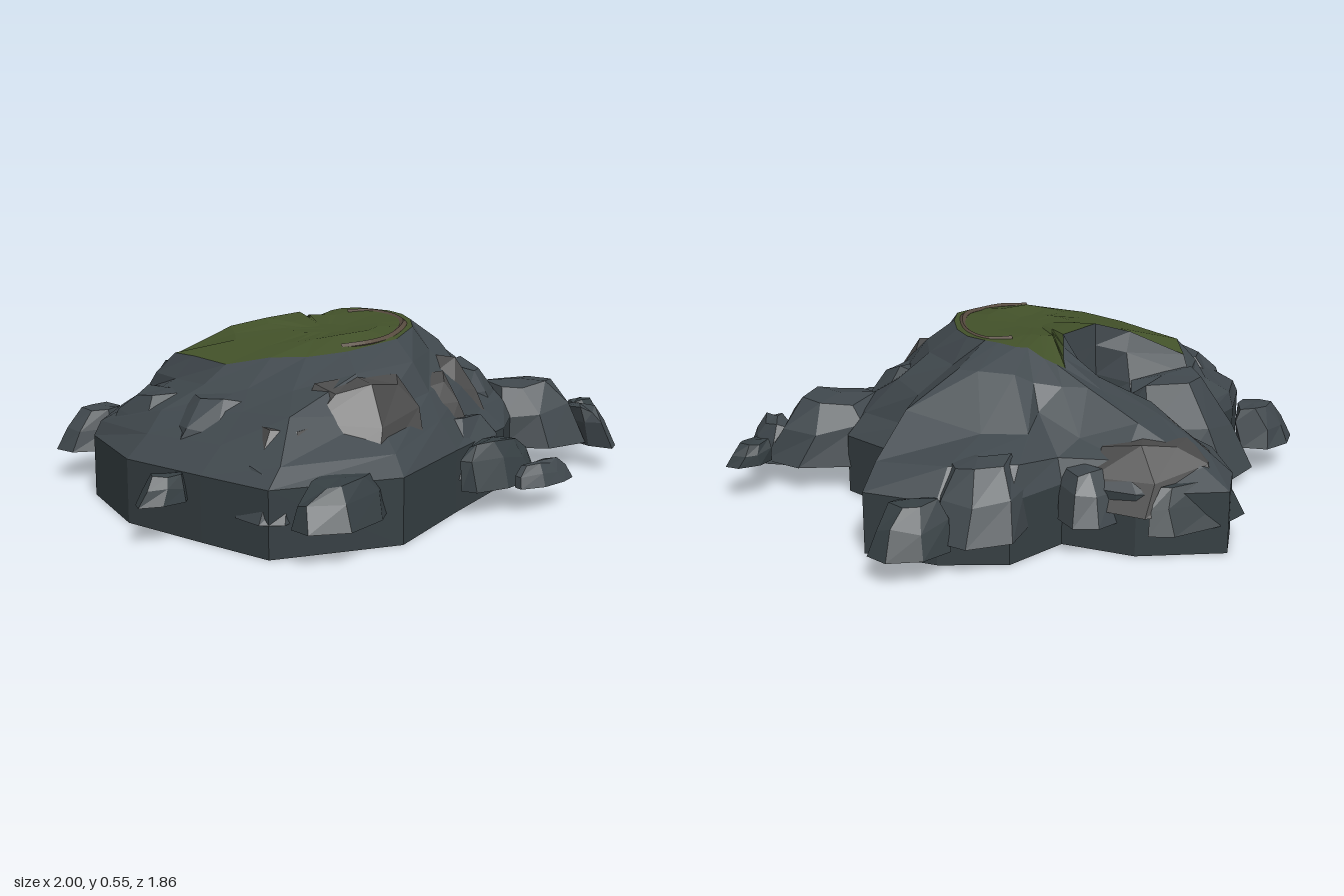
import * as THREE from 'three';

const mat = (color) => new THREE.MeshStandardMaterial({ color, flatShading: true, roughness: 1 });
const SLATE = mat(0x40484d), GREY = mat(0x4a4a4a), DARK = mat(0x363f43), GRASS = mat(0x43522a), TRAIL = mat(0x584c40);

// Small seeded noise in -1..1
let seed = 7;
const rnd = () => {
  seed = (seed * 16807) % 2147483647;
  return (seed / 2147483647) * 2 - 1;
};

// Each row: shoreline x, z, then the matching point x, z on the plateau rim
const COAST = [
  [0.82, -0.3, 0.24, -0.08], [0.57, -0.03, 0.26, 0], [0.62, 0.2, 0.24, 0.1],
  [0.52, 0.38, 0.18, 0.22], [0.32, 0.55, 0.1, 0.33], [-0.02, 0.7, -0.04, 0.42],
  [-0.36, 0.86, -0.25, 0.44], [-0.75, 0.75, -0.36, 0.37], [-0.82, 0.5, -0.43, 0.28],
  [-0.9, 0.2, -0.53, 0.17], [-0.84, -0.15, -0.53, -0.03], [-0.68, -0.3, -0.54, -0.14],
  [-0.42, -0.4, -0.48, -0.25], [-0.22, -0.28, -0.3, -0.17], [-0.2, -0.12, -0.2, -0.1],
  [-0.02, -0.18, -0.02, -0.16], [-0.15, -0.42, 0.02, -0.22], [-0.33, -0.58, 0.05, -0.26],
  [-0.22, -0.8, 0.07, -0.3], [-0.1, -0.92, 0.09, -0.28], [0.15, -0.78, 0.12, -0.25],
  [0.28, -0.58, 0.15, -0.2], [0.5, -0.62, 0.19, -0.19], [0.68, -0.5, 0.22, -0.13],
];

// Plateau height: falls away to the right, the back and the front
const plateauY = (x, z) =>
  0.54 - Math.max(0, -x - 0.2) * 0.28 - Math.max(0, -z - 0.18) * 0.6 - Math.max(0, z - 0.3) * 0.2;

// Skin closed rings of [x, y, z] points, listed from bottom to top
function loft(rings) {
  const pos = [];
  for (let r = 0; r < rings.length - 1; r++) {
    const a = rings[r], b = rings[r + 1];
    for (let i = 0; i < a.length; i++) {
      const j = (i + 1) % a.length;
      pos.push(...a[i], ...b[i], ...a[j], ...a[j], ...b[i], ...b[j]);
    }
  }
  const g = new THREE.BufferGeometry();
  g.setAttribute('position', new THREE.Float32BufferAttribute(pos, 3));
  g.computeVertexNormals();
  return g;
}

// Boulder: flat base, tapering side and a smaller top that leans towards the hill
function boulder(x, z, rx, rz, y0, y1, turn = 0) {
  const n = 7, h = y1 - y0, far = Math.hypot(x, z);
  const wobble = Array.from({ length: n }, () => 1 + rnd() * 0.1);
  const place = (u, v, y) => {
    const c = Math.cos(turn), s = Math.sin(turn), lean = ((y - y0) * 0.3) / far;
    return [x * (1 - lean) + u * c - v * s, y, z * (1 - lean) + u * s + v * c];
  };
  const ring = (scale, y, rough) => wobble.map((w, i) => {
    const a = ((i + 0.25 * rough * rnd()) / n) * Math.PI * 2;
    return place(Math.cos(a) * rx * w * scale, Math.sin(a) * rz * w * scale, y + rnd() * h * 0.1 * rough);
  });
  const dot = (y) => wobble.map(() => place(0, 0, y));
  return loft([dot(y0), ring(1, y0, 0), ring(0.87, y0 + h * 0.55, 1), ring(0.6, y1 - h * 0.06, 1), dot(y1)]);
}

// Stones along the shore: x, z, half width, half depth, bottom, top, turn
const SHORE = {
  backRightStone: [-0.73, -0.41, 0.12, 0.09, 0.1, 0.24, -0.2],
  headlandLedge: [-0.03, -0.85, 0.2, 0.06, 0.09, 0.22, 0],
  headlandStone: [0.23, -0.65, 0.09, 0.1, 0.1, 0.26, 0.5],
  backLeftStone: [0.79, -0.52, 0.13, 0.09, 0.08, 0.23, 0.3],
  leftStone: [0.79, 0.5, 0.06, 0.13, 0.08, 0.22, 0.1],
  leftOutlier: [0.92, 0.35, 0.08, 0.05, 0.12, 0.2, 0],
  frontLedge: [0.08, 0.61, 0.22, 0.09, 0.1, 0.27, -0.1],
  frontStone: [0.14, 0.74, 0.19, 0.06, 0.08, 0.22, -0.15],
  frontOutlier: [0.24, 0.82, 0.12, 0.035, 0.08, 0.15, 0],
  frontRightLedge: [-0.57, 0.84, 0.18, 0.09, 0.1, 0.22, -0.1],
  frontRightStone: [-0.72, 0.67, 0.07, 0.12, 0.1, 0.25, -0.2],
  rightOutlier: [-0.91, 0.43, 0.09, 0.05, 0.12, 0.2, 0],
};

// Large rocks set into the slopes, same columns
const CRAGS = {
  backRightCrag: [-0.42, -0.37, 0.24, 0.17, 0.04, 0.38, 0.2],
  headlandCrag: [-0.02, -0.66, 0.27, 0.21, 0.14, 0.32, 0],
  headlandNeckCrag: [0.03, -0.5, 0.19, 0.14, 0.15, 0.37, 0],
  backLeftCrag: [0.57, -0.53, 0.16, 0.15, 0.1, 0.31, 0],
  leftShoreCrag: [0.63, 0.38, 0.21, 0.18, 0.09, 0.31, 0.2],
  leftCrag: [0.43, -0.1, 0.15, 0.22, 0.2, 0.4, 0],
  leftFrontCrag: [0.36, 0.32, 0.12, 0.15, 0.18, 0.39, -0.5],
  frontLeftCrag: [0.18, 0.42, 0.16, 0.14, 0.2, 0.44, 0],
  frontMiddleCrag: [0.02, 0.52, 0.16, 0.12, 0.2, 0.4, 0],
  frontCrag: [-0.33, 0.6, 0.25, 0.17, 0.2, 0.44, 0],
  frontRightCrag: [-0.6, 0.62, 0.16, 0.14, 0.12, 0.33, 0],
  rightCrag: [-0.62, 0.31, 0.23, 0.2, 0.18, 0.38, 0.4],
  rightBackCrag: [-0.7, 0, 0.15, 0.18, 0.18, 0.36, 0],
};

export function createModel() {
  const group = new THREE.Group();
  const add = (name, geometry, material) => {
    const m = new THREE.Mesh(geometry, material);
    m.name = name;
    group.add(m);
  };

  // Vertical cliff base
  const outline = new THREE.Shape(COAST.map(([x, z]) => new THREE.Vector2(x, z)));
  const base = new THREE.ExtrudeGeometry(outline, { depth: 0.2, bevelEnabled: false });
  base.rotateX(Math.PI / 2).translate(0, 0.2, 0);
  add('cliffBase', base, DARK);

  // Rocky slopes from the shoreline to the plateau rim
  const level = (t, lift, rough) => COAST.map(([x, z, rx, rz]) => {
    const len = Math.hypot(rx - x, rz - z), k = rough * Math.min(len, 0.3);
    return [
      x + (rx - x) * t + rnd() * k,
      0.2 + (plateauY(rx, rz) - 0.2) * lift + rnd() * k * 0.8,
      z + (rz - z) * t + rnd() * k,
    ];
  });
  add('rockSlopes', loft([
    level(0, 0, 0), level(0.16, 0.22, 0.08), level(0.45, 0.47, 0.13), level(0.75, 0.77, 0.09), level(1, 1, 0),
  ]), SLATE);

  // Grass plateau with a shallow hollow
  const cx = -0.1, cz = 0.12;
  const turf = (s, dip) => COAST.map(([, , rx, rz]) => {
    const x = cx + (rx - cx) * s, z = cz + (rz - cz) * s;
    return [x, plateauY(x, z) - dip, z];
  });
  add('grassPlateau', loft([turf(1, 0), turf(0.6, 0.008), turf(0.25, 0.02), turf(0, 0.02)]), GRASS);

  // Worn trail along the plateau edge
  const trail = new THREE.CatmullRomCurve3(
    [[0.14, -0.09], [0.21, -0.06], [0.22, 0.04], [0.18, 0.16], [0.09, 0.29], [-0.04, 0.38], [-0.14, 0.41], [-0.24, 0.39]]
      .map(([x, z]) => new THREE.Vector3(x, plateauY(x, z) - 0.009, z)));
  add('trail', new THREE.TubeGeometry(trail, 32, 0.013, 5), TRAIL);

  // Shore stones and crags
  Object.entries(SHORE).forEach(([name, spec], i) => add(name, boulder(...spec), i % 2 ? DARK : SLATE));
  Object.entries(CRAGS).forEach(([name, spec]) =>
    add(name, boulder(...spec), /^(front|headlandCrag)/.test(name) ? GREY : SLATE));

  return group;
}
